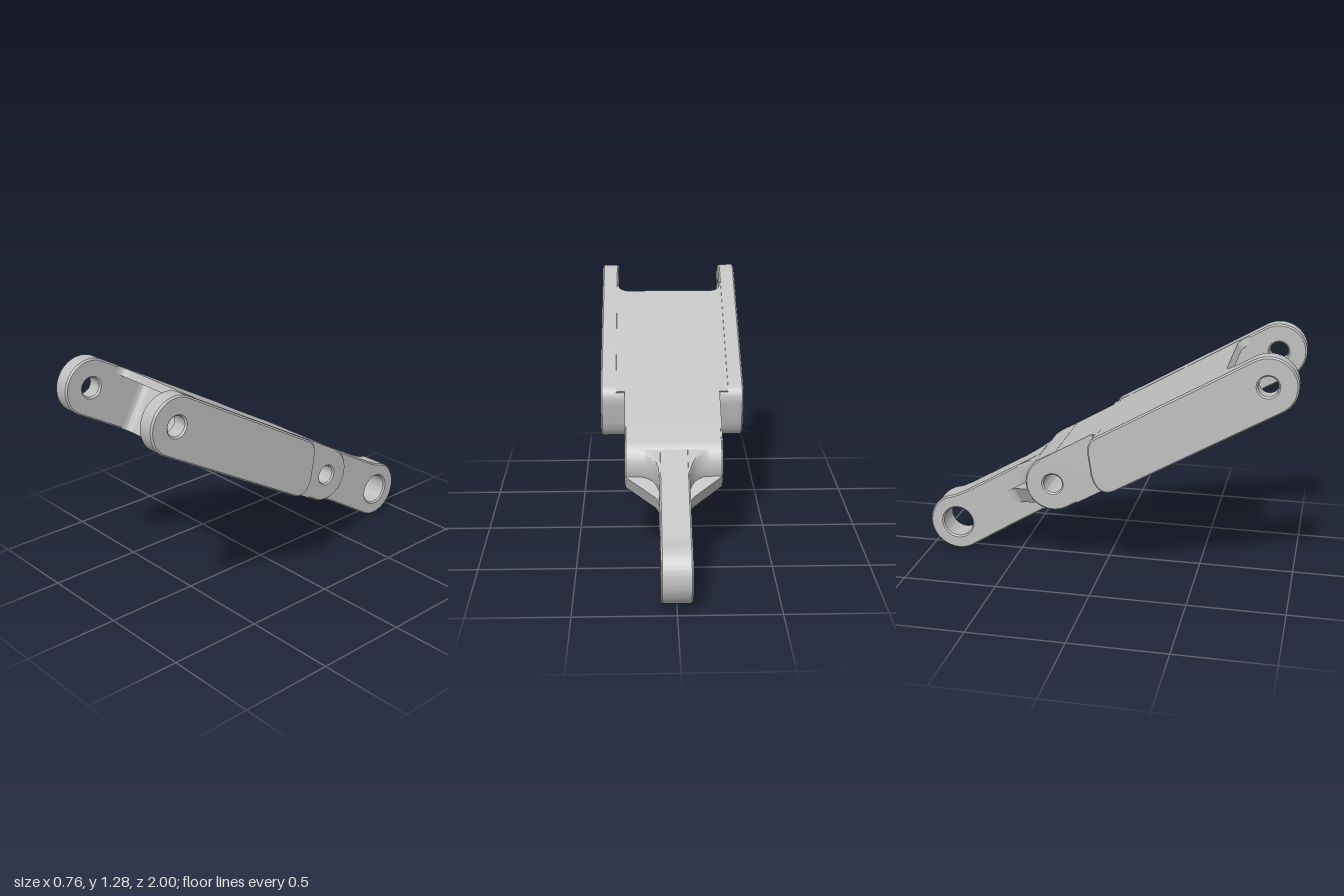
import * as THREE from 'three';
import { toCreasedNormals } from 'three/addons/utils/BufferGeometryUtils.js';
import { ParametricGeometry } from 'three/addons/geometries/ParametricGeometry.js';

// Local frame: X across, Z along the link (0 = rear eye), Y through its thickness.
const H = 0.147;      // half thickness
const FRONT = 1.953;  // front hole position
const PIVOT = 0.682;  // middle hole position

export function createModel() {
  const metal = new THREE.MeshStandardMaterial({ color: 0xbfbfbf });
  metal.name = 'greyMetal';
  const model = new THREE.Group();
  model.name = 'clevisLink';
  const link = new THREE.Group();
  link.name = 'tiltedLink';
  model.add(link);

  const add = (name, geometry) => {
    const mesh = new THREE.Mesh(toCreasedNormals(geometry, 0.55), metal);
    mesh.name = name;
    link.add(mesh);
  };
  const hole = (shape, z, r) => {
    const p = new THREE.Path();
    p.absarc(z, 0, r, 0, Math.PI * 2, false);
    shape.holes.push(p);
  };
  // Side profile (z, y) extruded across x0..x1 with a small edge bevel
  const side = (name, shape, x0, x1, bevel = 0.008) => {
    const g = new THREE.ExtrudeGeometry(shape, {
      depth: x1 - x0 - 2 * bevel, curveSegments: 32, bevelEnabled: bevel > 0,
      bevelThickness: bevel, bevelSize: bevel, bevelOffset: -bevel, bevelSegments: 1,
    });
    g.rotateY(-Math.PI / 2);
    g.translate(x1 - bevel, 0, 0);
    add(name, g);
  };
  // Plan profile (x, z) extruded through y0..y1
  const plan = (name, shape, y0, y1) => {
    const g = new THREE.ExtrudeGeometry(shape, { depth: y1 - y0, curveSegments: 12, bevelEnabled: false });
    g.rotateX(Math.PI / 2);
    g.translate(0, y1, 0);
    add(name, g);
  };

  // Side arms: slanted rounded rear end, round front lug
  const slantedEnd = (s) => {
    s.lineTo(1.02, -H);
    s.quadraticCurveTo(0.91, -H, 0.94, -0.02);
    s.lineTo(0.975, 0.07);
    s.quadraticCurveTo(1.0, H, 1.06, H);
  };
  const arm = new THREE.Shape();
  arm.absarc(FRONT, 0, H, Math.PI / 2, -Math.PI / 2, true);
  slantedEnd(arm);
  arm.closePath();
  hole(arm, FRONT, 0.05);

  // Filler between each arm's rear end and the narrow block
  const filler = new THREE.Shape();
  filler.moveTo(1.03, -H);
  slantedEnd(filler);
  filler.lineTo(1.06, 0.11);
  filler.lineTo(1.03, 0.11);
  filler.closePath();

  side('leftArm', arm, 0.288, 0.378);
  side('rightArm', arm, -0.378, -0.288);
  side('leftArmEnd', filler, 0.24, 0.3, 0);
  side('rightArmEnd', filler, -0.3, -0.24, 0);

  // Outline with concave fillets where the front edge meets the arms
  const bodyOutline = (rear, front, r) => {
    const s = new THREE.Shape();
    s.moveTo(-0.25, rear);
    s.lineTo(0.25, rear);
    s.lineTo(0.25, 1.02);
    s.lineTo(0.295, 1.02);
    s.lineTo(0.295, front + r);
    s.lineTo(0.288, front + r);
    s.quadraticCurveTo(0.288, front, 0.288 - r, front);
    s.lineTo(r - 0.288, front);
    s.quadraticCurveTo(-0.288, front, -0.288, front + r);
    s.lineTo(-0.295, front + r);
    s.lineTo(-0.295, 1.02);
    s.lineTo(-0.25, 1.02);
    s.closePath();
    return s;
  };

  // Top deck
  plan('topDeck', bodyOutline(PIVOT, 1.79, 0.06), 0.105, H - 0.001);

  // Underside frame: cross rib and side walls around a stepped pocket
  const frame = bodyOutline(0.75, 1.632, 0.05);
  const pocket = new THREE.Path();
  const r = 0.045;
  pocket.moveTo(0, 0.8);
  pocket.lineTo(0.205 - r, 0.8);
  pocket.quadraticCurveTo(0.205, 0.8, 0.205, 0.8 + r);
  pocket.lineTo(0.205, 1.0);
  pocket.quadraticCurveTo(0.205, 1.02, 0.225, 1.02);
  pocket.lineTo(0.288 - r, 1.02);
  pocket.quadraticCurveTo(0.288, 1.02, 0.288, 1.02 + r);
  pocket.lineTo(0.288, 1.59 - r);
  pocket.quadraticCurveTo(0.288, 1.59, 0.288 - r, 1.59);
  pocket.lineTo(r - 0.288, 1.59);
  pocket.quadraticCurveTo(-0.288, 1.59, -0.288, 1.59 - r);
  pocket.lineTo(-0.288, 1.02 + r);
  pocket.quadraticCurveTo(-0.288, 1.02, r - 0.288, 1.02);
  pocket.lineTo(-0.225, 1.02);
  pocket.quadraticCurveTo(-0.205, 1.02, -0.205, 1.0);
  pocket.lineTo(-0.205, 0.8 + r);
  pocket.quadraticCurveTo(-0.205, 0.8, r - 0.205, 0.8);
  pocket.closePath();
  frame.holes.push(pocket);
  plan('pocketFrame', frame, -H + 0.001, 0.106);

  // Narrow block with a round end and the middle hole
  const block = new THREE.Shape();
  block.absarc(PIVOT, 0, H, -Math.PI / 2, Math.PI / 2, true);
  block.lineTo(0.785, H);
  block.lineTo(0.785, -H);
  block.closePath();
  hole(block, PIVOT, 0.05);
  side('narrowBlock', block, -0.25, 0.25);

  // Rear tongue with a slightly raised eye
  const tongue = new THREE.Shape();
  tongue.moveTo(0.63, -0.14);
  tongue.lineTo(0.3, -0.147);
  tongue.lineTo(0, -0.157);
  tongue.absarc(0, 0, 0.157, -Math.PI / 2, 1.3, true);
  tongue.quadraticCurveTo(0.075, 0.139, 0.16, 0.139);
  tongue.lineTo(0.63, 0.139);
  tongue.closePath();
  hole(tongue, 0, 0.083);
  side('rearTongue', tongue, -0.077, 0.077);

  // Concave flare from the round block end onto the tongue
  add('tongueFlare', new ParametricGeometry((a, b, target) => {
    const x = 0.18 - 0.36 * b;
    const d = Math.min(0.102, Math.max(0, 0.18 - Math.abs(x)));
    const radius = 0.249 - Math.sqrt(Math.max(0, 0.102 ** 2 - d * d));
    const t = Math.PI * (0.5 + a);
    const y = THREE.MathUtils.clamp(radius * Math.sin(t), -0.144, 0.138);
    target.set(x, y, PIVOT + radius * Math.cos(t));
  }, 40, 36));

  // Thin gussets beside the tongue
  for (const s of [1, -1]) {
    const gusset = new THREE.Shape();
    gusset.moveTo(s * 0.06, 0.6);
    gusset.lineTo(s * 0.06, 0.355);
    gusset.lineTo(s * 0.077, 0.355);
    gusset.quadraticCurveTo(s * 0.08, 0.4, s * 0.11, 0.42);
    gusset.lineTo(s * 0.247, 0.54);
    gusset.lineTo(s * 0.247, 0.6);
    gusset.closePath();
    plan(s > 0 ? 'leftGusset' : 'rightGusset', gusset, -0.05, 0.035);
  }

  // Tilt the link so the front lugs rise
  link.rotation.x = -Math.atan2(0.972, 1.693);
  link.position.set(0, 0.158, -0.842);
  return model;
}
